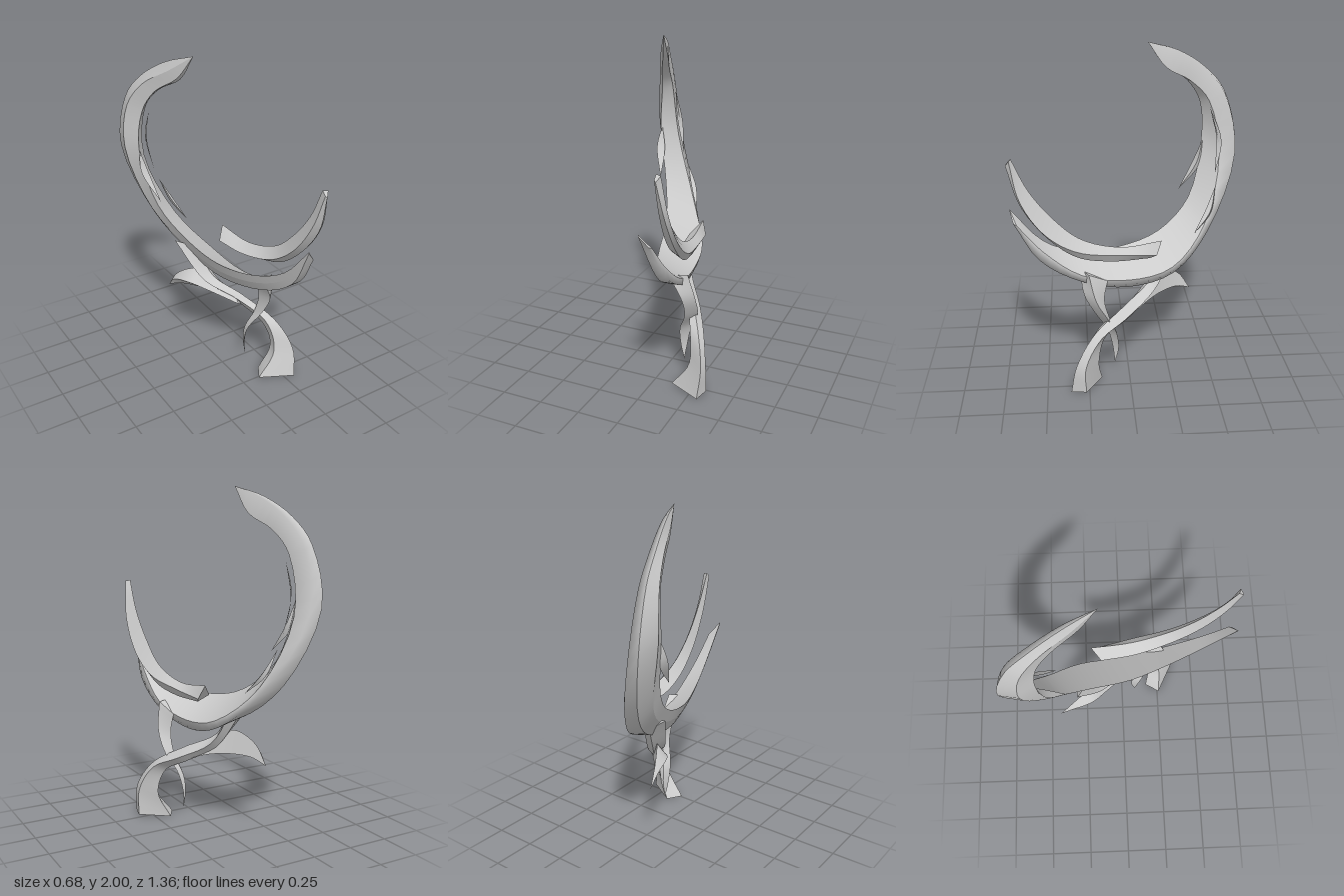
import * as THREE from 'three';

const steel = new THREE.MeshStandardMaterial({ color: 0xcccccc, side: THREE.DoubleSide });
steel.name = 'pale grey';

// Skin between edge rails. Each strip lists rails that blend smoothly; strips meet in hard edges.
function loft(name, rails, strips, steps = 24) {
  const rows = rails.map(r =>
    new THREE.CatmullRomCurve3(r.map(p => new THREE.Vector3(...p))).getPoints(steps));
  const pos = [], idx = [];
  for (const strip of strips) {
    const base = pos.length / 3, w = strip.length;
    for (let i = 0; i <= steps; i++) for (const k of strip) pos.push(...rows[k][i].toArray());
    for (let i = 0; i < steps; i++) for (let j = 0; j < w - 1; j++) {
      const a = base + i * w + j, b = a + 1, c = a + w, d = c + 1;
      idx.push(a, b, c, b, d, c);
    }
  }
  // End caps
  for (const end of [0, steps]) {
    const base = pos.length / 3;
    rows.forEach(r => pos.push(...r[end].toArray()));
    for (let k = 1; k < rows.length - 1; k++) {
      if (end) idx.push(base, base + k, base + k + 1);
      else idx.push(base, base + k + 1, base + k);
    }
  }
  // Turn the faces outward if the enclosed volume comes out negative
  const v = i => new THREE.Vector3().fromArray(pos, i * 3);
  let volume = 0;
  for (let i = 0; i < idx.length; i += 3) volume += v(idx[i]).dot(v(idx[i + 1]).cross(v(idx[i + 2])));
  if (volume < 0) idx.reverse();

  const geo = new THREE.BufferGeometry();
  geo.setAttribute('position', new THREE.Float32BufferAttribute(pos, 3));
  geo.setIndex(idx);
  geo.computeVertexNormals();
  const mesh = new THREE.Mesh(geo, steel);
  mesh.name = name;
  return mesh;
}

const HARD4 = [[0, 1], [1, 2], [2, 3], [3, 0]];
const HARD3 = [[0, 1], [1, 2], [2, 0]];

export function createModel() {
  const group = new THREE.Group();
  group.name = 'crescentSculpture';

  // Large crescent: five edges running from the front tip to the top tip
  const top = [-0.11, 2, -0.12];
  const innerLeft = [[.11, 1.11, .68], [.09, .9, .5], [.03, .8, .3], [-.06, .78, .05], [-.13, .85, -.2],
    [-.22, 1.03, -.39], [-.29, 1.38, -.47], [-.27, 1.62, -.45], [-.23, 1.76, -.36], [-.16, 1.86, -.22], top];
  const midLeft = [[.11, 1.105, .68], [.11, .86, .51], [.055, .74, .3], [-.035, .71, .03], [-.11, .78, -.24],
    [-.225, .98, -.46], [-.34, 1.38, -.56], [-.325, 1.65, -.53], [-.27, 1.8, -.42], [-.19, 1.9, -.26], top];
  const outerLeft = [[.11, 1.1, .68], [.13, .82, .52], [.09, .68, .3], [0, .64, 0], [-.06, .7, -.28],
    [-.18, .92, -.53], [-.31, 1.35, -.68], [-.3, 1.68, -.6], [-.26, 1.83, -.47], [-.19, 1.94, -.3], top];
  const outerRight = [[.16, 1.04, .66], [.19, .82, .52], [.18, .67, .28], [.12, .595, 0], [.08, .66, -.27],
    [-.05, .87, -.49], [-.23, 1.3, -.67], [-.25, 1.66, -.6], [-.22, 1.82, -.47], [-.16, 1.94, -.29], top];
  const innerRight = [[.17, 1.03, .64], [.18, .87, .5], [.18, .71, .28], [.14, .65, 0], [.09, .7, -.26],
    [-.06, .91, -.47], [-.21, 1.3, -.57], [-.22, 1.63, -.5], [-.19, 1.76, -.38], [-.13, 1.85, -.23], top];
  group.add(loft('mainCrescent', [innerLeft, midLeft, outerLeft, outerRight, innerRight],
    [[0, 1], [1, 2], [2, 3, 4], [4, 0]], 40));

  // Smaller horn floating above the front of the crescent
  group.add(loft('upperHorn', [
    [[.12, .89, -.19], [.15, .87, .05], [.18, .94, .28], [.19, 1.08, .44], [.2, 1.25, .565], [.2, 1.435, .65]],
    [[.15, .81, -.16], [.19, .835, .05], [.23, .88, .3], [.25, 1, .48], [.25, 1.2, .61], [.23, 1.43, .66]],
    [[.13, .785, -.12], [.17, .79, .1], [.2, .835, .3], [.22, .96, .46], [.23, 1.17, .61], [.21, 1.4, .68]],
    [[.06, .82, -.13], [.09, .82, .08], [.14, .87, .3], [.17, 1, .47], [.19, 1.2, .6], [.2, 1.41, .675]],
  ], HARD4));

  // Twisting stem from the flared foot to the underside of the crescent
  group.add(loft('stem', [
    [[.31, 0, .36], [.32, .18, .325], [.26, .35, .22], [.14, .48, .03], [.01, .59, -.14], [-.03, .76, -.2]],
    [[.335, .01, .27], [.33, .17, .27], [.28, .33, .18], [.19, .42, .02], [.06, .54, -.16], [0, .74, -.27]],
    [[.165, 0, .17], [.24, .16, .19], [.21, .31, .15], [.14, .4, 0], [.02, .51, -.15], [-.06, .74, -.29]],
    [[.11, 0, .26], [.22, .16, .26], [.2, .35, .2], [.1, .46, .02], [-.05, .57, -.13], [-.17, .82, -.28]],
  ], HARD4));

  // Hanging tendril that crosses the stem
  const tendrilTip = [.118, .075, .088];
  group.add(loft('tendril', [
    [[.1, .72, .29], [.17, .58, .27], [.165, .44, .2], [.105, .3, .13], [.1, .18, .1], tendrilTip],
    [[.2, .72, .24], [.23, .56, .2], [.22, .43, .13], [.16, .31, .08], [.13, .18, .065], tendrilTip],
    [[.16, .66, .13], [.17, .54, .15], [.16, .41, .12], [.12, .28, .075], [.115, .18, .065], tendrilTip],
  ], HARD3));

  // Thorn curling back from the stem
  const thornTip = [-.155, .435, -.405];
  group.add(loft('thorn', [
    [[.1, .47, 0], [.02, .57, -.13], [-.06, .615, -.22], [-.13, .55, -.33], thornTip],
    [[.15, .41, 0], [.05, .46, -.12], [-.04, .475, -.22], [-.11, .47, -.32], thornTip],
    [[.1, .43, .03], [-.03, .5, -.1], [-.12, .54, -.2], [-.155, .51, -.33], thornTip],
  ], HARD3));

  // Thin slivers along the inside of the crescent: start, three middle corners, end
  const slivers = [
    [[-.2, 1.6, -.5], [-.21, 1.43, -.545], [-.185, 1.4, -.575], [-.195, 1.38, -.56], [-.16, 1.2, -.54]],
    [[-.23, 1.08, -.33], [-.3, 1.25, -.43], [-.25, 1.24, -.44], [-.27, 1.22, -.46], [-.285, 1.38, -.48]],
    [[-.01, .87, -.4], [-.08, 1, -.48], [-.055, .99, -.5], [-.075, .98, -.51], [-.13, 1.13, -.54]],
  ];
  slivers.forEach(([a, p, q, r, b], i) =>
    group.add(loft('sliver' + (i + 1), [p, q, r].map(m => [a, m, b]), HARD3, 10)));

  return group;
}
